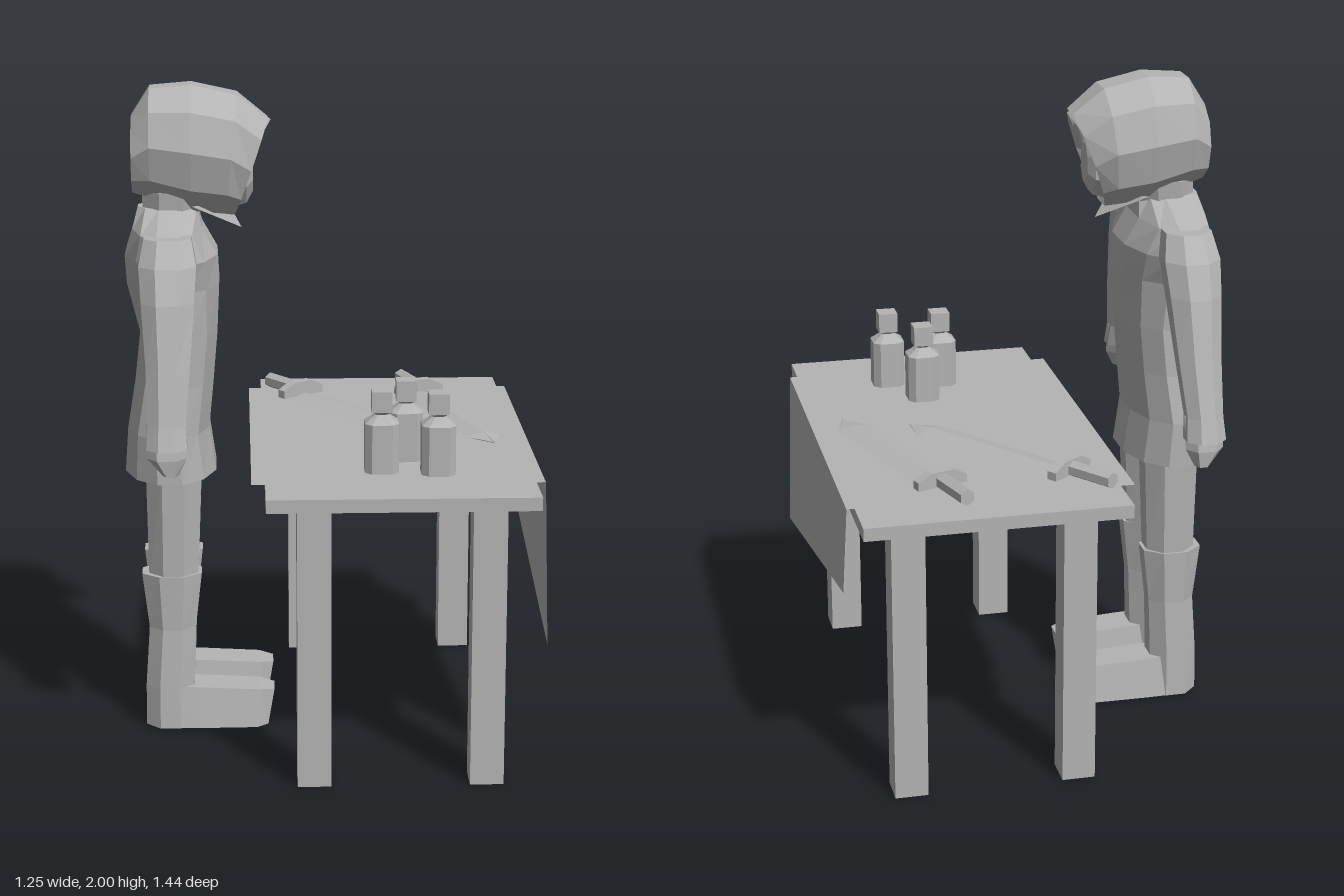
import * as THREE from 'three';

const grey = new THREE.MeshStandardMaterial({ color: 0xb4b4b4, side: THREE.DoubleSide, flatShading: true });
grey.name = 'grey';
const V = (x, y, z) => new THREE.Vector3(x, y, z);

function add(parent, name, geometry, x = 0, y = 0, z = 0) {
  const mesh = new THREE.Mesh(geometry, grey);
  mesh.name = name;
  mesh.position.set(x, y, z);
  parent.add(mesh);
  return mesh;
}

// n points around c, spanned by the half axes a and b, with flats facing the axes
function ring(c, a, b, n) {
  const k = 1 / Math.cos(Math.PI / n);
  return Array.from({ length: n }, (_, i) => {
    const t = ((i + 0.5) / n) * Math.PI * 2;
    return c.clone().addScaledVector(a, Math.cos(t) * k).addScaledVector(b, Math.sin(t) * k);
  });
}

// skin over rings of equal size, closed at both ends
function loft(rings) {
  const p = [];
  const tri = (...v) => v.forEach((q) => p.push(q.x, q.y, q.z));
  const n = rings[0].length;
  for (let r = 0; r + 1 < rings.length; r++) {
    for (let i = 0; i < n; i++) {
      const j = (i + 1) % n, A = rings[r], B = rings[r + 1];
      tri(A[i], A[j], B[j]);
      tri(A[i], B[j], B[i]);
    }
  }
  const first = rings[0], last = rings[rings.length - 1];
  for (let i = 1; i + 1 < n; i++) {
    tri(first[0], first[i + 1], first[i]);
    tri(last[0], last[i], last[i + 1]);
  }
  return surface(p);
}

function surface(points) {
  const g = new THREE.BufferGeometry();
  g.setAttribute('position', new THREE.Float32BufferAttribute(points, 3));
  g.computeVertexNormals();
  return g;
}

// upright loft from rows of [y, centre x, centre z, half x, half z], bottom first
const upright = (rows, n) =>
  loft(rows.map(([y, x, z, rx, rz]) => ring(V(x, y, z), V(0, 0, rz), V(rx, 0, 0), n)));

// box without its underside
function openBox(w, h, d) {
  const g = new THREE.BoxGeometry(w, h, d);
  const index = Array.from(g.index.array);
  index.splice(18, 6);
  g.setIndex(index);
  g.clearGroups();
  return g;
}

function makeTable() {
  const table = new THREE.Group();
  table.name = 'table';
  add(table, 'tableTop', openBox(0.79, 0.04, 1.44), 0.195, 0.885, 0);
  for (const x of [-0.06, 0.45])
    for (const z of [-0.6, 0.6]) add(table, 'tableLeg', openBox(0.1, 0.885, 0.1), x, 0.4425, z);
  // cloth: a flat sheet with a slanted hanging end
  const sheet = new THREE.PlaneGeometry(0.855, 1.155).rotateX(-Math.PI / 2);
  add(table, 'clothTop', sheet, 0.1875, 0.909, 0);
  const a = [0.615, 0.909, 0.58], b = [0.615, 0.909, -0.58];
  const c = [0.63, 0.65, -0.58], d = [0.63, 0.41, 0.58];
  add(table, 'clothHanging', surface([a, d, c, a, c, b].flat()));
  return table;
}

function makeSword(x, z, angle) {
  const sword = new THREE.Group();
  sword.name = 'sword';
  // diamond-section blade along +z
  const section = (zz, w, h) => [V(w, 0, zz), V(0, h, zz), V(-w, 0, zz), V(0, -0.004, zz)];
  add(sword, 'blade', loft([section(0, 0.055, 0.014), section(0.553, 0.057, 0.012), section(0.64, 0.003, 0.003)]));
  const shape = new THREE.Shape();
  [[-0.08, 0.005], [0.08, 0.005], [0.08, 0.03], [0.035, 0.052], [-0.035, 0.052], [-0.08, 0.03]]
    .forEach(([u, v], i) => (i ? shape.lineTo(u, v) : shape.moveTo(u, v)));
  add(sword, 'guard', new THREE.ExtrudeGeometry(shape, { depth: 0.032, bevelEnabled: false }), 0, 0, -0.016);
  const grip = new THREE.CylinderGeometry(0.025, 0.025, 0.16, 6).rotateX(Math.PI / 2);
  add(sword, 'grip', grip, 0, 0.023, -0.085);
  sword.position.set(x, 0.911, z);
  sword.rotation.y = angle;
  return sword;
}

function makeBottle(x, z) {
  const bottle = new THREE.Group();
  bottle.name = 'bottle';
  // square with cut corners, upward winding
  const row = (y, h, c) => [[c, h], [h, c], [h, -c], [c, -h], [-c, -h], [-h, -c], [-h, c], [-c, h]]
    .map(([u, v]) => V(v, y, u));
  const order = (r) => r.reverse();
  add(bottle, 'bottleBody', loft([row(0, 0.05, 0.03), row(0.15, 0.05, 0.03), row(0.165, 0.03, 0.018),
    row(0.175, 0.02, 0.012), row(0.185, 0.03, 0.018)].map(order)));
  add(bottle, 'stopper', new THREE.BoxGeometry(0.06, 0.062, 0.06), 0, 0.214, 0);
  bottle.position.set(x, 0.907, z);
  return bottle;
}

function makeHead() {
  const head = new THREE.Group();
  head.name = 'head';
  // hood along x: [x, centre y, half height, half width, forward lean]; the last rings turn inwards to the face
  const rows = [
    [-0.59, 1.79, 0.115, 0.11, 0], [-0.535, 1.825, 0.165, 0.14, 0], [-0.41, 1.81, 0.19, 0.153, 0],
    [-0.29, 1.79, 0.18, 0.148, 0.1], [-0.23, 1.75, 0.145, 0.115, 0.35],
    [-0.25, 1.745, 0.125, 0.095, 0.3], [-0.27, 1.74, 0.115, 0.085, 0.15],
  ];
  add(head, 'hood', loft(rows.map(([x, y, h, w, k]) => ring(V(x, y, 0), V(k * h, h, 0), V(0, 0, w), 10))));
  // face set inside the hood
  add(head, 'face', loft([[-0.3, 0.11, 0.085], [-0.245, 0.095, 0.07], [-0.225, 0.06, 0.04]]
    .map(([x, h, w]) => ring(V(x, 1.735, 0), V(0, h, 0), V(0, 0, w), 8))));
  // pointed peak over the brow
  const peak = V(-0.17, 1.89, 0), top = V(-0.27, 1.965, 0), p = [];
  for (const s of [1, -1]) {
    const side = V(-0.225, 1.81, s * 0.11), back = V(-0.27, 1.92, s * 0.1);
    const faces = s > 0 ? [peak, top, back, peak, back, side] : [peak, back, top, peak, side, back];
    faces.forEach((q) => p.push(q.x, q.y, q.z));
  }
  add(head, 'hoodPeak', surface(p));
  add(head, 'neck', upright([[1.54, -0.47, 0, 0.09, 0.1], [1.6, -0.475, 0, 0.085, 0.08], [1.68, -0.47, 0, 0.09, 0.09]], 8));
  // collar point under the chin
  add(head, 'collarPoint', surface([-0.41, 1.64, 0.09, -0.26, 1.56, 0, -0.3, 1.635, 0,
    -0.41, 1.64, -0.09, -0.3, 1.635, 0, -0.26, 1.56, 0]));
  return head;
}

function makeFigure() {
  const figure = new THREE.Group();
  figure.name = 'figure';
  add(figure, 'tunic', upright([
    [0.81, -0.485, 0, 0.14, 0.23], [0.95, -0.49, 0, 0.125, 0.232], [1.1, -0.47, 0, 0.12, 0.212],
    [1.25, -0.455, 0, 0.118, 0.21], [1.4, -0.47, 0, 0.14, 0.225], [1.49, -0.475, 0, 0.14, 0.265],
    [1.57, -0.485, 0, 0.105, 0.27], [1.63, -0.485, 0, 0.09, 0.075],
  ], 12));
  for (const s of [1, -1]) {
    // sleeve and hand
    add(figure, 'sleeve', upright([
      [0.99, -0.485, s * 0.462, 0.06, 0.056], [1.06, -0.485, s * 0.445, 0.055, 0.052],
      [1.22, -0.48, s * 0.392, 0.065, 0.062], [1.4, -0.48, s * 0.325, 0.078, 0.082],
      [1.5, -0.48, s * 0.28, 0.085, 0.085], [1.575, -0.48, s * 0.24, 0.07, 0.07],
    ], 8));
    add(figure, 'hand', upright([
      [0.91, -0.475, s * 0.475, 0.02, 0.02], [0.96, -0.485, s * 0.465, 0.05, 0.035],
      [1.06, -0.485, s * 0.445, 0.052, 0.038],
    ], 6));
    // trouser leg, boot shaft and foot
    add(figure, 'leg', upright([
      [0.48, -0.48, s * 0.118, 0.075, 0.072], [0.84, -0.475, s * 0.118, 0.085, 0.09],
    ], 8));
    add(figure, 'bootShaft', upright([
      [0.01, -0.495, s * 0.123, 0.076, 0.077], [0.14, -0.495, s * 0.123, 0.075, 0.073],
      [0.33, -0.485, s * 0.123, 0.072, 0.066], [0.505, -0.485, s * 0.123, 0.092, 0.075],
    ], 8));
    const foot = (x, lean, h, w) => [V(x, 0.01, s * 0.123 - w), V(x + lean, h, s * 0.123 - w * 0.75),
      V(x + lean, h, s * 0.123 + w * 0.75), V(x, 0.01, s * 0.123 + w)];
    add(figure, 'foot', loft([foot(-0.47, 0, 0.14, 0.075), foot(-0.4, 0, 0.138, 0.077),
      foot(-0.225, 0.01, 0.128, 0.075), foot(-0.19, 0.02, 0.122, 0.045)]));
  }
  figure.add(makeHead());
  return figure;
}

export function createModel() {
  const model = new THREE.Group();
  model.name = 'figureAtTable';
  model.add(makeTable(), makeFigure());
  model.add(makeSword(-0.07, -0.46, 0.64), makeSword(0.32, -0.47, 0.3));
  for (const [x, z] of [[0.225, 0.3], [0.145, 0.43], [0.31, 0.46]]) model.add(makeBottle(x, z));
  return model;
}
